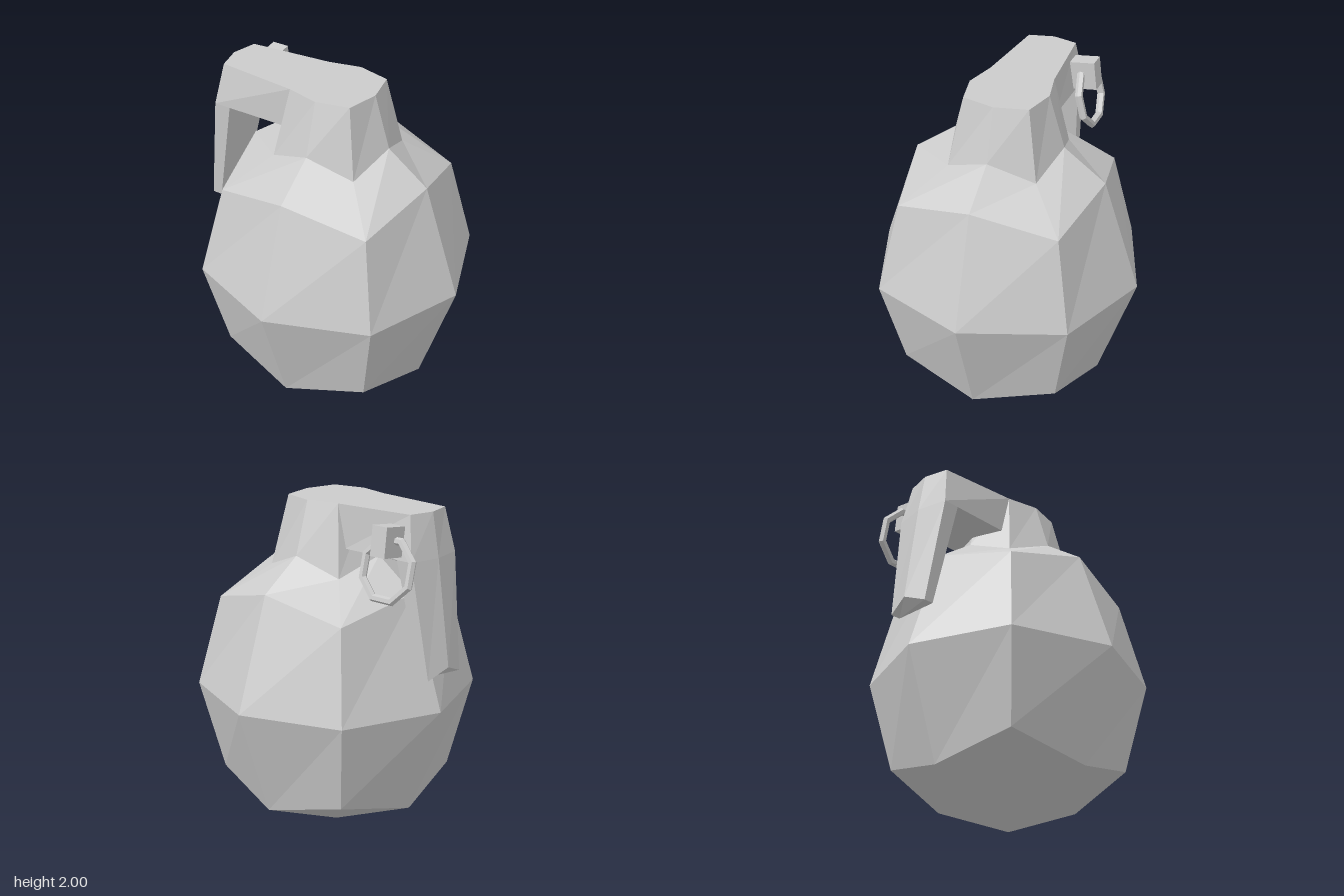
import * as THREE from 'three';

const mat = new THREE.MeshStandardMaterial({ color: 0xcccccc, flatShading: true });

function addMesh(parent, name, geometry) {
  const mesh = new THREE.Mesh(geometry, mat);
  mesh.name = name;
  parent.add(mesh);
  return mesh;
}

// Closed faceted solid through rings of [x, y, z], listed bottom to top,
// each ring running counter-clockwise as seen from above.
function loft(rings) {
  const pos = [];
  const tri = (...pts) => {
    const [a, b, c] = pts.map((p) => new THREE.Vector3(...p));
    if (b.sub(a).cross(c.sub(a)).length() > 1e-7) pos.push(...pts.flat());
  };
  const n = rings[0].length;
  for (let r = 0; r < rings.length - 1; r++) {
    const lo = rings[r], hi = rings[r + 1];
    for (let i = 0; i < n; i++) {
      const j = (i + 1) % n;
      tri(lo[i], lo[j], hi[j]);
      tri(lo[i], hi[j], hi[i]);
    }
  }
  const bottom = rings[0], top = rings[rings.length - 1];
  for (let i = 1; i < n - 1; i++) {
    tri(bottom[0], bottom[i + 1], bottom[i]);
    tri(top[0], top[i], top[i + 1]);
  }
  const g = new THREE.BufferGeometry();
  g.setAttribute('position', new THREE.Float32BufferAttribute(pos, 3));
  g.computeVertexNormals();
  return g;
}

// Eight-point ring: axis points at distance m, height ym; corners at (c, c), height yc.
function octRing(m, ym, c, yc) {
  const cx = 0.02;
  return [[1, 0], [1, -1], [0, -1], [-1, -1], [-1, 0], [-1, 1], [0, 1], [1, 1]].map(([x, z]) => {
    const corner = x !== 0 && z !== 0;
    const d = corner ? c : m;
    return [cx + x * d, corner ? yc : ym, z * d];
  });
}

// Mirrored five-point lever section: inner edge, outer edge and ridge, each [x, y, halfWidth].
function leverRing(inner, outer, ridge) {
  const side = ([x, y, w], s) => [x, y, s * w];
  return [side(inner, -1), side(outer, -1), ridge, side(outer, 1), side(inner, 1)];
}

export function createModel() {
  const model = new THREE.Group();
  model.name = 'grenade';

  // Rounded body running up into the tapered neck
  addMesh(model, 'bodyAndNeck', loft([
    octRing(0, 0, 0, 0),
    octRing(0.57, 0.245, 0.47, 0.36),
    octRing(0.785, 0.885, 0.57, 0.885),
    octRing(0.57, 1.525, 0.47, 1.41),
    octRing(0.325, 1.7, 0.26, 1.6),
    octRing(0.234, 2, 0.19, 2),
  ]));

  // Safety lever: flared top block and tapered hanging arm
  const lever = new THREE.Group();
  lever.name = 'safetyLever';
  model.add(lever);
  addMesh(lever, 'leverTop', loft([
    leverRing([-0.22, 1.755, 0.185], [-0.69, 1.755, 0.185], [-0.725, 1.755, 0]),
    leverRing([-0.17, 2, 0.19], [-0.645, 2, 0.145], [-0.68, 2, 0]),
  ]));
  addMesh(lever, 'leverArm', loft([
    leverRing([-0.72, 1.105, 0.135], [-0.78, 1.105, 0.135], [-0.81, 1.16, 0]),
    leverRing([-0.59, 1.755, 0.185], [-0.69, 1.755, 0.185], [-0.725, 1.755, 0]),
  ]));

  // Pin block on the back of the lever, with its pull ring
  const pin = addMesh(model, 'pinBlock', new THREE.BoxGeometry(0.1, 0.165, 0.17));
  pin.position.set(-0.57, 1.862, -0.227);
  pin.rotation.x = 0.12;

  const ringGeometry = new THREE.TorusGeometry(0.172, 0.023, 6, 8);
  ringGeometry.rotateZ(Math.PI / 8);
  const ring = addMesh(model, 'pullRing', ringGeometry);
  ring.position.set(-0.59, 1.715, -0.262);
  ring.rotation.x = 0.24;

  return model;
}
